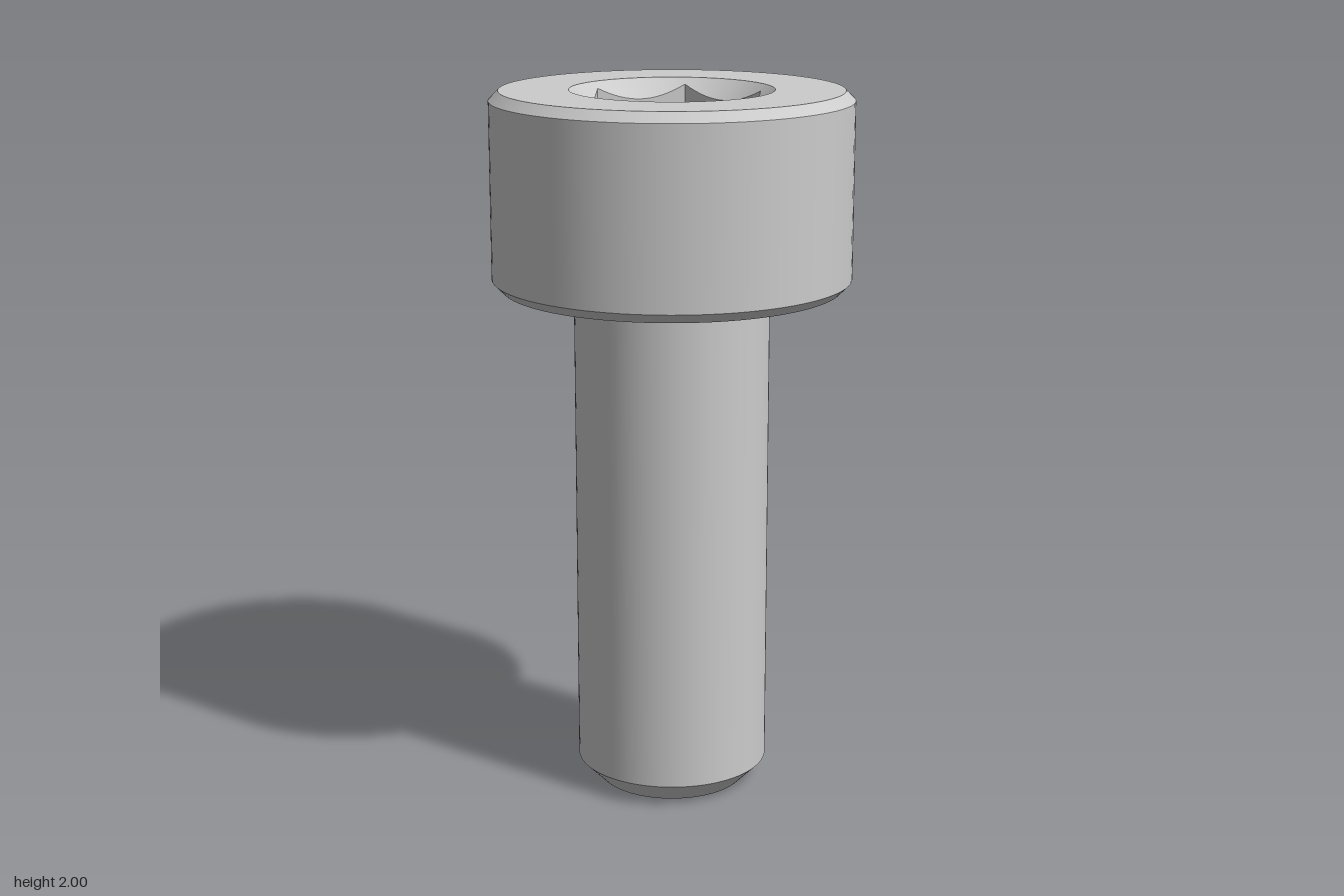
import * as THREE from 'three';

const SEG = 96; // a multiple of 6, so the socket corners fall on vertices
const TOP = 2, HEAD_BOTTOM = 1.455, SOCKET_FLOOR = 1.764;
const HEAD_R = 0.5, SHANK_R = 0.273, FILLET = 0.018, CHAMFER = 0.027;
const SINK_R = 0.281, HEX_FLAT = 0.228;

const material = new THREE.MeshStandardMaterial({ color: 0xcccccc });

function addMesh(parent, name, geometry) {
  const mesh = new THREE.Mesh(geometry, material);
  mesh.name = name;
  parent.add(mesh);
  return mesh;
}

function lathe(points) {
  return new THREE.LatheGeometry(points.map(([r, y]) => new THREE.Vector2(r, y)), SEG);
}

// Distance from the axis to the hexagon in direction phi, with a corner at phi = 0
function hexRadius(phi) {
  const sector = Math.PI / 3;
  const a = ((phi % sector) + sector) % sector;
  return HEX_FLAT / Math.cos(a - sector / 2);
}

// The 45 degree countersink meets the hexagon at this height
const sinkHeight = (r) => TOP - (SINK_R - r);

// Moves lathe vertices onto the hexagon; place(row, r) gives the height, or null to leave it
function fitToHex(geometry, place) {
  const p = geometry.attributes.position;
  for (let i = 0; i < p.count; i++) {
    const phi = (Math.floor(i / 2) / SEG) * Math.PI * 2;
    const r = hexRadius(phi);
    const y = place(i % 2, r);
    if (y !== null) p.setXYZ(i, r * Math.sin(phi), y, r * Math.cos(phi));
  }
  return geometry;
}

export function createModel() {
  const model = new THREE.Group();
  model.name = 'socketHeadScrew';

  // Shank: flat end, chamfered tip, cylinder running into a small fillet
  const shank = new THREE.Group();
  shank.name = 'shank';
  model.add(shank);
  const tipR = 0.21, tipH = 0.064;
  addMesh(shank, 'shankEnd', lathe([[0, 0], [tipR, 0]]));
  addMesh(shank, 'tipChamfer', lathe([[tipR, 0], [SHANK_R, tipH]]));
  addMesh(shank, 'shankBody', lathe([[SHANK_R, tipH], [SHANK_R, HEAD_BOTTOM - FILLET]]));
  const fillet = [];
  for (let i = 0; i <= 8; i++) {
    const a = (i / 8) * Math.PI / 2;
    fillet.push([
      SHANK_R + FILLET * (1 - Math.cos(a)),
      HEAD_BOTTOM - FILLET * (1 - Math.sin(a)),
    ]);
  }
  addMesh(shank, 'underheadFillet', lathe(fillet));

  // Head: each band is its own lathe, so edges between them stay sharp
  const head = new THREE.Group();
  head.name = 'head';
  model.add(head);
  const rimR = HEAD_R - CHAMFER;
  const bands = {
    headUnderside: [[SHANK_R + FILLET, HEAD_BOTTOM], [rimR, HEAD_BOTTOM]],
    lowerChamfer: [[rimR, HEAD_BOTTOM], [HEAD_R, HEAD_BOTTOM + CHAMFER]],
    headSide: [[HEAD_R, HEAD_BOTTOM + CHAMFER], [HEAD_R, TOP - CHAMFER]],
    upperChamfer: [[HEAD_R, TOP - CHAMFER], [rimR, TOP]],
    headTop: [[rimR, TOP], [SINK_R, TOP]],
  };
  for (const [name, points] of Object.entries(bands)) addMesh(head, name, lathe(points));

  // Socket: conical countersink cut by the hexagon, six flat walls and a floor
  const socket = new THREE.Group();
  socket.name = 'hexSocket';
  model.add(socket);
  const sink = lathe([[SINK_R, TOP], [HEX_FLAT, sinkHeight(HEX_FLAT)]]);
  addMesh(socket, 'countersink', fitToHex(sink, (row, r) => (row === 0 ? null : sinkHeight(r))));

  const walls = fitToHex(
    lathe([[HEX_FLAT, TOP], [HEX_FLAT, SOCKET_FLOOR]]),
    (row, r) => (row === 0 ? sinkHeight(r) : SOCKET_FLOOR),
  ).toNonIndexed();
  walls.computeVertexNormals();
  addMesh(socket, 'socketWalls', walls);

  const floor = new THREE.CircleGeometry(hexRadius(0), 6, Math.PI / 2);
  floor.rotateX(-Math.PI / 2);
  addMesh(socket, 'socketFloor', floor).position.y = SOCKET_FLOOR;

  return model;
}
